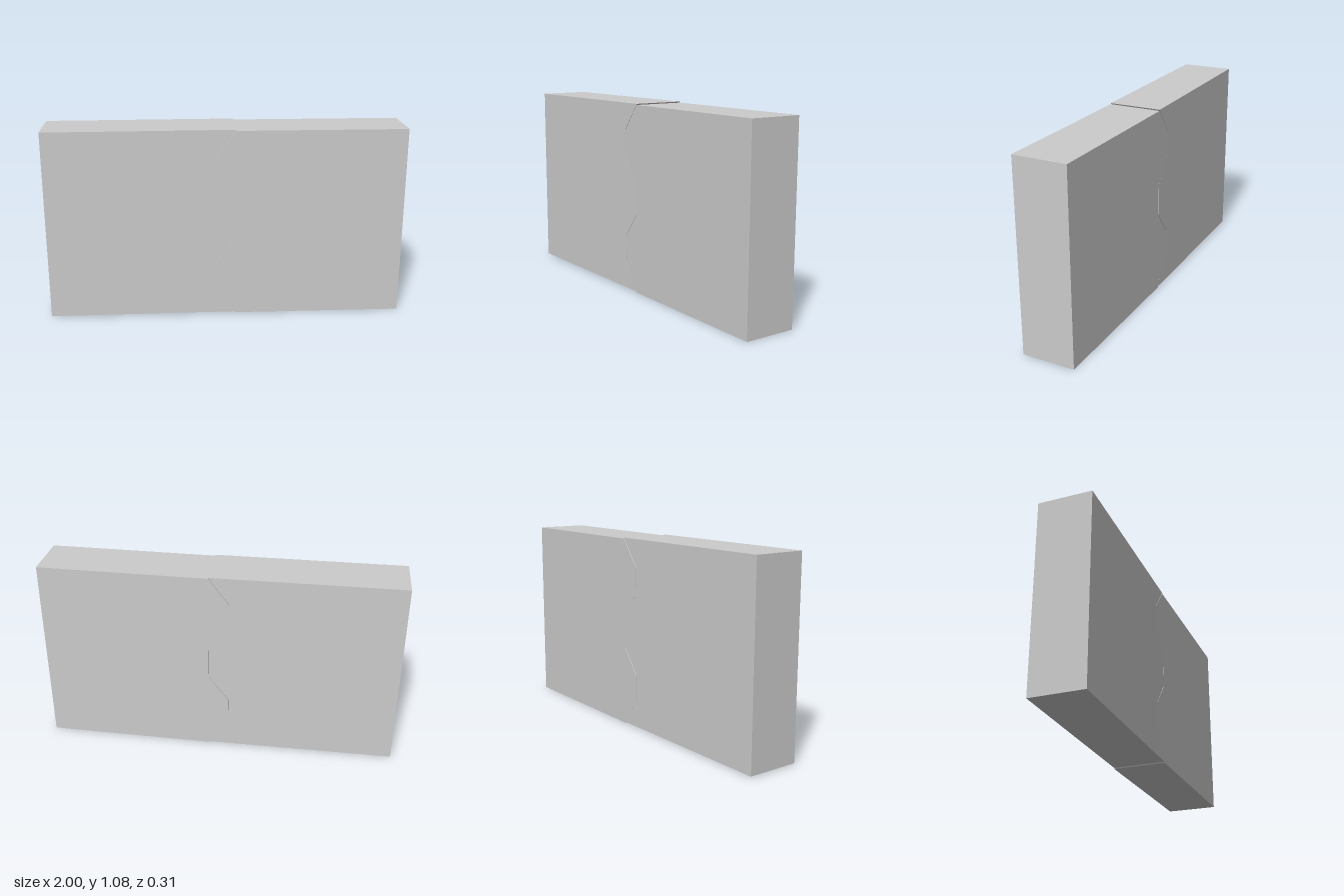
import * as THREE from 'three';

const HEIGHT = 1.072, DEPTH = 0.298;

// Zigzag joint shared by both halves, from bottom to top
const SEAM = [
  [0.055, 0], [-0.058, 0.155], [-0.058, 0.307], [0.055, 0.455],
  [0.055, 0.63], [-0.058, 0.77], [-0.058, 0.922], [0.055, HEIGHT],
];

// Slab running from an outer edge at x = end to the zigzag joint
function slab(name, end, material) {
  const outline = [[end, HEIGHT], [end, 0], ...SEAM].map(([x, y]) => new THREE.Vector2(x, y));
  const geometry = new THREE.ExtrudeGeometry(new THREE.Shape(outline), {
    depth: DEPTH, bevelEnabled: false,
  });
  geometry.translate(0, 0, -DEPTH / 2);
  const mesh = new THREE.Mesh(geometry, material);
  mesh.name = name;
  return mesh;
}

export function createModel() {
  const group = new THREE.Group();
  group.name = 'interlockingSlabs';
  const material = new THREE.MeshStandardMaterial({ color: 0xcccccc });

  // Straight half
  const leftSlab = slab('leftSlab', 1, material);
  leftSlab.position.z = -0.006;

  // Mating half, slightly raised and turned
  const rightSlab = slab('rightSlab', -1, material);
  rightSlab.position.set(0, 0.006, -0.006);
  rightSlab.rotation.y = 0.0125;

  group.add(leftSlab, rightSlab);
  return group;
}
